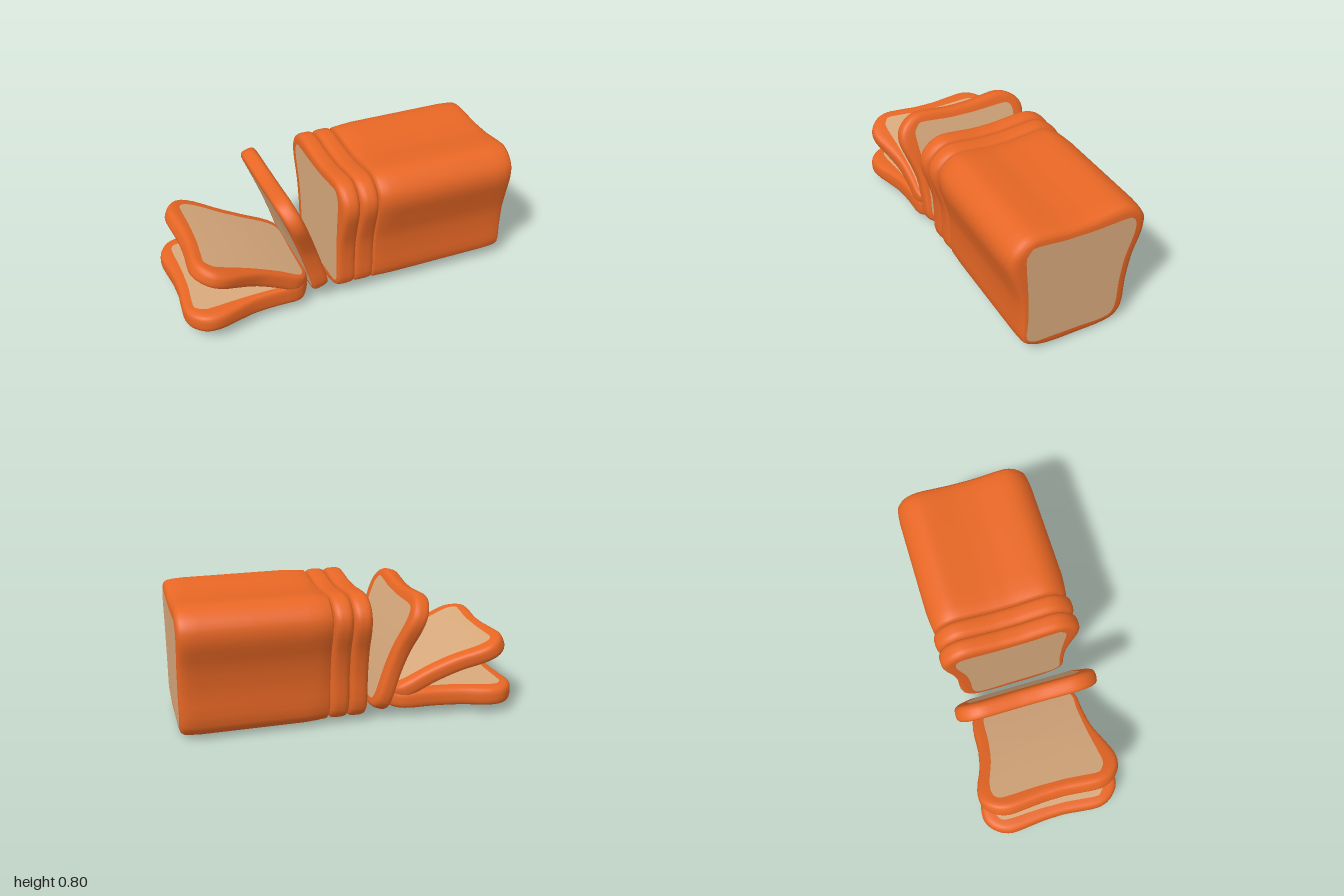
import * as THREE from 'three';

const crust = new THREE.MeshStandardMaterial({ color: 0xe86725 });
crust.name = 'crust orange';
const crumb = new THREE.MeshStandardMaterial({ color: 0xd8a97c });
crumb.name = 'crumb tan';

// Paired outlines of a slice: crust z, crust y, crumb z, crumb y
const OUTLINE = [
  [0.00, 0.777, 0.00, 0.717], [0.07, 0.778, 0.09, 0.720], [0.17, 0.790, 0.20, 0.733],
  [0.27, 0.797, 0.285, 0.738], [0.33, 0.780, 0.302, 0.722], [0.38, 0.740, 0.318, 0.700],
  [0.410, 0.690, 0.325, 0.680], [0.415, 0.620, 0.323, 0.610], [0.385, 0.510, 0.313, 0.490],
  [0.350, 0.380, 0.307, 0.370], [0.340, 0.240, 0.305, 0.240], [0.333, 0.100, 0.308, 0.120],
  [0.280, 0.050, 0.265, 0.085], [0.180, 0.010, 0.170, 0.077], [0.00, 0.002, 0.00, 0.069],
  [-0.190, 0.006, -0.175, 0.060], [-0.265, 0.028, -0.225, 0.075], [-0.315, 0.090, -0.250, 0.130],
  [-0.330, 0.290, -0.260, 0.290], [-0.360, 0.460, -0.283, 0.450], [-0.408, 0.600, -0.325, 0.585],
  [-0.410, 0.680, -0.335, 0.650], [-0.380, 0.735, -0.325, 0.695], [-0.330, 0.775, -0.300, 0.716],
  [-0.270, 0.795, -0.260, 0.720], [-0.170, 0.789, -0.160, 0.717], [-0.060, 0.778, -0.060, 0.715],
];
const SAMPLES = OUTLINE.length * 3;

function sampleLoop(k) {
  const pts = OUTLINE.map((p) => new THREE.Vector3(0, p[k + 1], p[k]));
  const curve = new THREE.CatmullRomCurve3(pts, true);
  return Array.from({ length: SAMPLES }, (_, i) => curve.getPoint(i / SAMPLES));
}
const outer = sampleLoop(0);
const inner = sampleLoop(2);
const centre = new THREE.Vector3(0, 0.4, 0);

// Ring between crumb edge (t = 0) and crust edge (t = 1); negative t shrinks to the centre
function ring(t, x, bend) {
  return inner.map((p, j) => {
    const v = t < 0 ? p.clone().lerp(centre, -t) : p.clone().lerp(outer[j], t);
    v.x = x + bend * (1 - ((v.y - 0.4) / 0.4) ** 2);
    return v;
  });
}

// Smooth skin over successive rings
function skin(steps, bend, material, name) {
  const pos = [], index = [];
  for (const [t, x] of steps) {
    for (const v of ring(t, x, bend)) pos.push(v.x, v.y, v.z);
  }
  for (let i = 0; i < steps.length - 1; i++) {
    for (let j = 0; j < SAMPLES; j++) {
      const a = i * SAMPLES + j, d = i * SAMPLES + (j + 1) % SAMPLES;
      const b = a + SAMPLES, c = d + SAMPLES;
      if (steps[i][0] > -1) index.push(a, b, d);
      if (steps[i + 1][0] > -1) index.push(b, c, d);
      else index.push(a, b, d);
      if (steps[i][0] <= -1) index.push(a, b, c);
    }
  }
  const g = new THREE.BufferGeometry();
  g.setAttribute('position', new THREE.Float32BufferAttribute(pos, 3));
  g.setIndex(index);
  g.computeVertexNormals();
  const mesh = new THREE.Mesh(g, material);
  mesh.name = name;
  return mesh;
}

// Crust band plus a crumb face on each end
function bread(name, steps, bend = 0) {
  const group = new THREE.Group();
  group.name = name;
  const right = steps[0][1], left = steps[steps.length - 1][1];
  group.add(
    skin(steps, bend, crust, name + 'Crust'),
    skin([[-0.999, right], [-0.66, right], [-0.33, right], [0, right]], bend, crumb, name + 'CrumbA'),
    skin([[0, left], [-0.33, left], [-0.66, left], [-0.999, left]], bend, crumb, name + 'CrumbB'),
  );
  return group;
}

// One slice with rounded rim, standing on its origin and tipped by an angle
function slice(name, half, x, y, degrees, scale, bend = 0) {
  const rim = [[0, 1], [0.4, 0.995], [0.68, 0.94], [0.86, 0.8], [0.96, 0.57], [1, 0.25]];
  const steps = [
    ...rim.map(([t, k]) => [t, k * half]),
    ...rim.slice().reverse().map(([t, k]) => [t, -k * half]),
  ];
  const s = bread(name, steps, bend);
  s.scale.y = scale;
  s.position.set(x, y, 0);
  s.rotation.z = THREE.MathUtils.degToRad(degrees);
  return s;
}

export function createModel() {
  const model = new THREE.Group();
  model.name = 'slicedBread';

  // Uncut loaf with softly rounded ends
  model.add(bread('loaf', [
    [0, 1], [0.35, 0.998], [0.65, 0.992], [0.85, 0.975], [0.94, 0.94], [1, 0.88], [1, 0.6],
    [1, 0.28], [0.93, 0.21], [0.84, 0.15], [0.6, 0.138], [0, 0.136],
  ]));

  // Upright slices beside the loaf
  model.add(slice('uprightSliceInner', 0.057, 0.078, 0.01, 0, 0.98));
  model.add(slice('uprightSliceOuter', 0.055, -0.034, 0.01, 0, 0.98));

  // Falling and fallen slices
  model.add(slice('leaningSlice', 0.049, -0.17, 0.035, 18.7, 0.95, 0.018));
  model.add(slice('tiltedSlice', 0.05, -0.235, 0.126, 66, 0.965, 0.016));
  model.add(slice('lyingSlice', 0.057, -0.22, 0.1125, 90, 0.98));
  return model;
}
